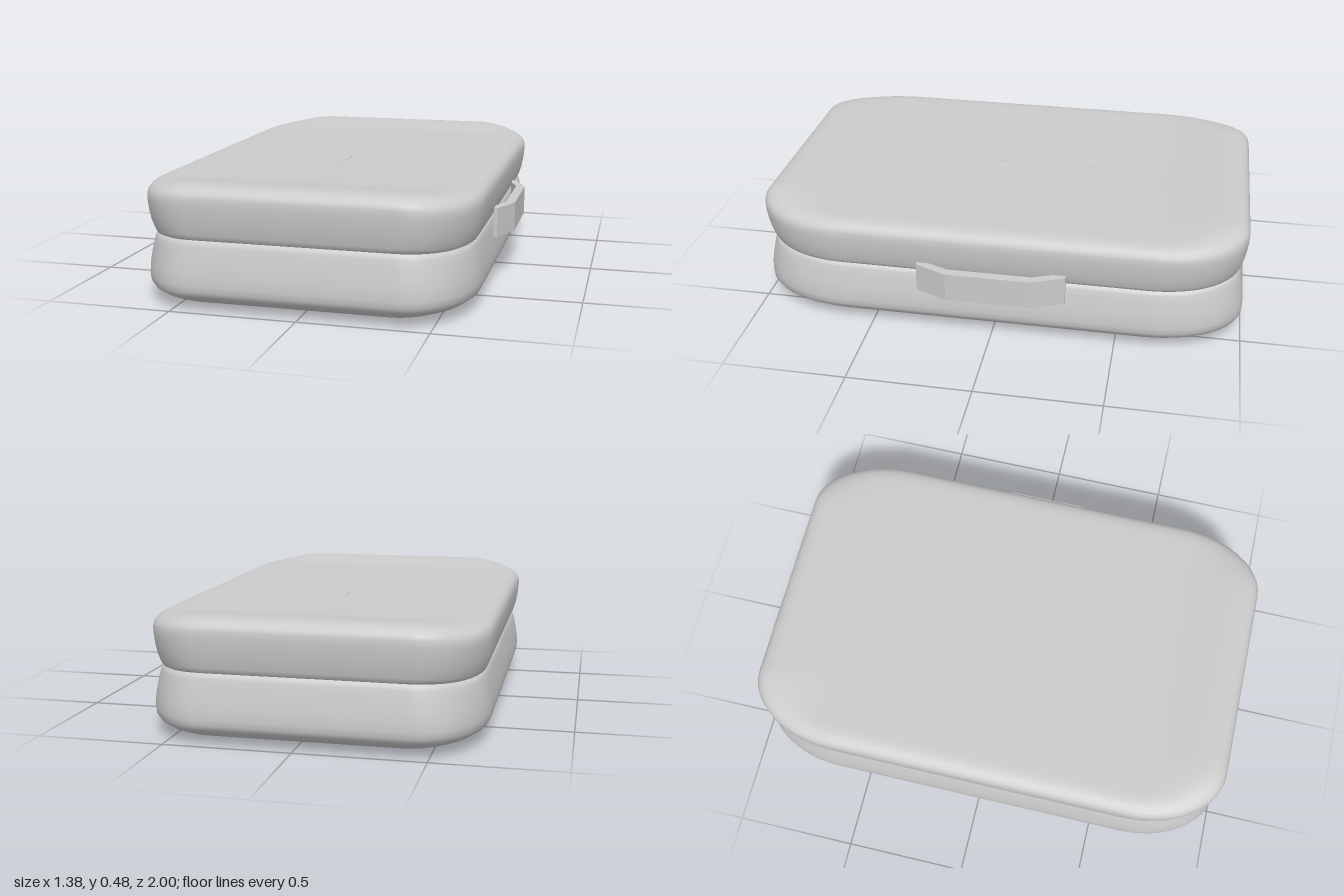
import * as THREE from 'three';

const material = new THREE.MeshStandardMaterial({ color: 0xcccccc, side: THREE.DoubleSide });
const HALF_X = 0.66, HALF_Z = 1, CENTRE_X = -0.03;

// Rounded rectangle with elliptical corners, shrunk by an inset; returns [x, z] points
function outline(inset) {
  const hx = HALF_X - inset, hz = HALF_Z - inset;
  const rx = hx * 0.38, rz = hz * 0.37;
  const corners = [[1, 1], [-1, 1], [-1, -1], [1, -1]];
  const arcSteps = 12, sideSteps = 16, points = [];
  const arcs = corners.map(([sx, sz], q) => {
    const arc = [];
    for (let i = 0; i <= arcSteps; i++) {
      const a = (q + i / arcSteps) * Math.PI / 2;
      arc.push([sx * (hx - rx) + rx * Math.cos(a), sz * (hz - rz) + rz * Math.sin(a)]);
    }
    return arc;
  });
  arcs.forEach((arc, q) => {
    points.push(...arc);
    const a = arc[arcSteps], b = arcs[(q + 1) % 4][0];
    for (let i = 1; i < sideSteps; i++) {
      const t = i / sideSteps;
      points.push([a[0] + (b[0] - a[0]) * t, a[1] + (b[1] - a[1]) * t]);
    }
  });
  return points;
}

// The upper half swells slightly toward both short ends
function swell(x, y, z) {
  const s = THREE.MathUtils.smoothstep;
  return 0.021 * s(y, 0.2, 0.32) * s(Math.abs(z), 0.66, 0.92) * (1 - s(Math.abs(x), 0.4, 0.66));
}

// Lofts a shell through rings of [height, inset]
function shell(name, rings) {
  const position = [], index = [];
  let n = 0;
  rings.forEach(([y, inset], r) => {
    const points = outline(inset);
    n = points.length;
    points.forEach(([x, z], j) => {
      position.push(x + CENTRE_X, y + swell(x, y, z), z);
      if (r === rings.length - 1) return;
      const a = r * n + j, b = r * n + (j + 1) % n;
      index.push(a, a + n, b, b, a + n, b + n);
    });
  });
  const geometry = new THREE.BufferGeometry();
  geometry.setAttribute('position', new THREE.Float32BufferAttribute(position, 3));
  geometry.setIndex(index);
  geometry.computeVertexNormals();
  const mesh = new THREE.Mesh(geometry, material);
  mesh.name = name;
  return mesh;
}

// Angular strap handle, a bent strip drawn in plan and extruded upward
function makeHandle() {
  const shape = new THREE.Shape([
    [0.62, -0.3], [0.635, -0.3], [0.69, -0.17], [0.69, 0.17], [0.635, 0.3], [0.62, 0.3],
    [0.62, 0.25], [0.652, 0.17], [0.652, -0.17], [0.62, -0.25],
  ].map(([x, z]) => new THREE.Vector2(x, z)));
  const geometry = new THREE.ExtrudeGeometry(shape, { depth: 0.12, bevelEnabled: false });
  geometry.rotateX(-Math.PI / 2).translate(0, 0.19, 0);
  const mesh = new THREE.Mesh(geometry, material);
  mesh.name = 'handle';
  return mesh;
}

export function createModel() {
  const group = new THREE.Group();
  group.name = 'suitcase';

  // Lower shell, from the middle of the base up to the seam
  group.add(shell('lowerShell', [
    [0, 0.659], [0, 0.4], [0.001, 0.25], [0.005, 0.17], [0.013, 0.11], [0.026, 0.065],
    [0.042, 0.033], [0.06, 0.012], [0.08, 0.002], [0.105, 0], [0.14, 0.002], [0.18, 0.008],
    [0.22, 0.016], [0.245, 0.022], [0.256, 0.027], [0.262, 0.035],
  ]));

  // Upper shell, from the seam up to the middle of the lid
  group.add(shell('upperShell', [
    [0.262, 0.035], [0.267, 0.026], [0.28, 0.02], [0.31, 0.011], [0.35, 0.004], [0.39, 0],
    [0.415, 0], [0.432, 0.005], [0.445, 0.016], [0.454, 0.033], [0.459, 0.056], [0.46, 0.08],
    [0.46, 0.11], [0.46, 0.15], [0.46, 0.19], [0.46, 0.23], [0.46, 0.28], [0.46, 0.34],
    [0.46, 0.45], [0.46, 0.659],
  ]));

  group.add(makeHandle());
  return group;
}
